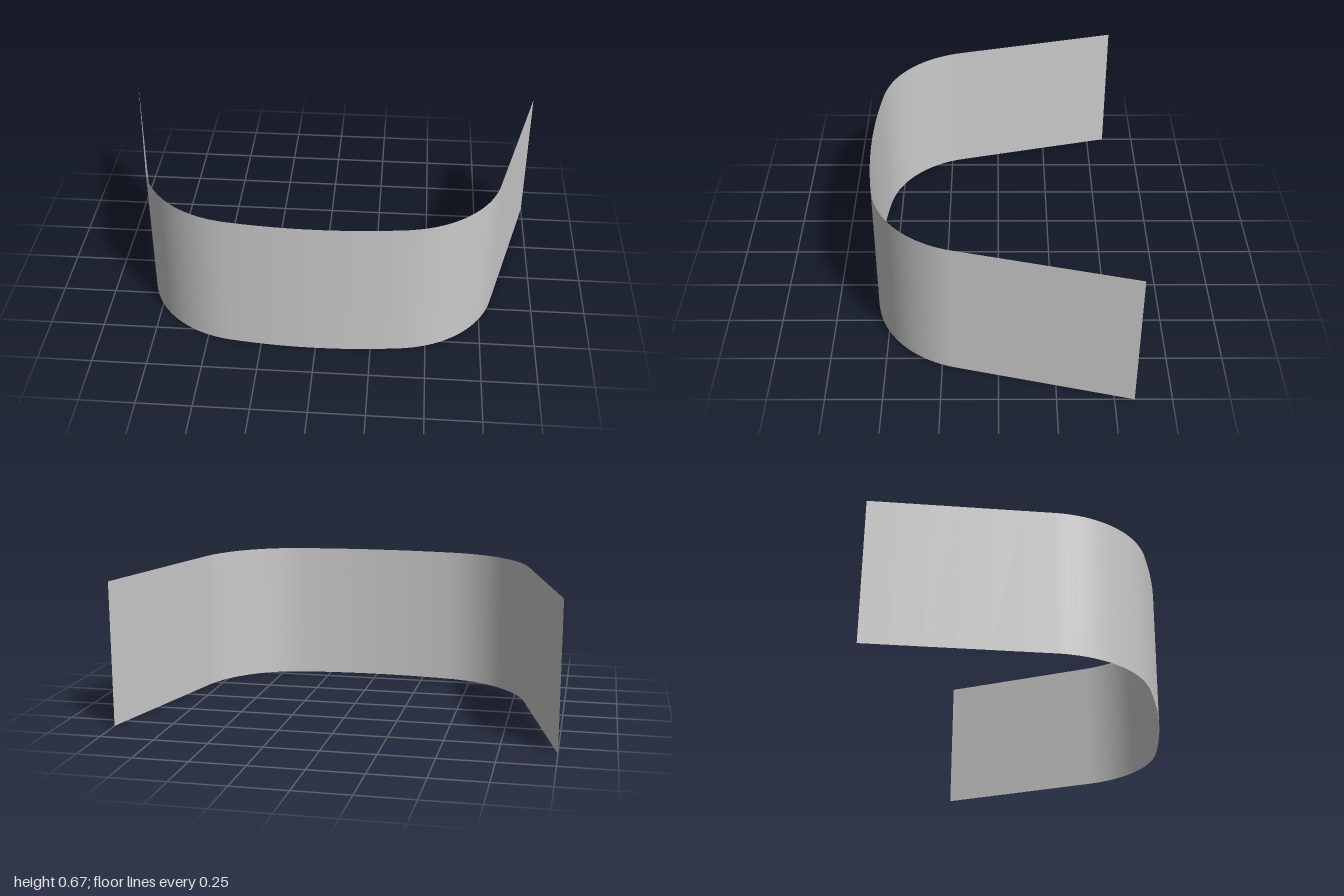
import * as THREE from 'three';

const HEIGHT = 0.67;
const rad = THREE.MathUtils.degToRad;

// Points on a circle in the ground plane (x, z), from angle a to angle b in degrees
function arc(cx, cz, r, a, b, steps) {
  return Array.from({ length: steps + 1 }, (_, i) => {
    const t = rad(a + (b - a) * i / steps);
    return [cx + r * Math.cos(t), cz + r * Math.sin(t)];
  });
}

// Plan outline: straight splayed arm, tight corner, shallow front bow, then mirrored
function outline() {
  const half = [
    ...arc(0, -2.287, 2.874, 90, 82, 10),
    ...arc(0.332, 0.074, 0.489, 82, 14, 24).slice(1),
  ];
  const [sx, sz] = half[half.length - 1];
  const armSteps = 6;
  for (let i = 1; i <= armSteps; i++) {
    const t = i / armSteps;
    half.push([sx + (1 - sx) * t, sz + (-0.587 - sz) * t]);
  }
  const mirrored = half.slice(1).reverse().map(([x, z]) => [-x, z]);
  return [...mirrored, ...half];
}

export function createModel() {
  const group = new THREE.Group();
  group.name = 'curvedScreen';

  // Thin upright sheet bent along the outline
  const points = outline();
  const geometry = new THREE.PlaneGeometry(1, HEIGHT, points.length - 1, 1);
  geometry.translate(0, HEIGHT / 2, 0);
  const pos = geometry.attributes.position;
  for (let i = 0; i < pos.count; i++) {
    const [x, z] = points[i % points.length];
    pos.setX(i, x);
    pos.setZ(i, z);
  }
  geometry.computeVertexNormals();

  const material = new THREE.MeshStandardMaterial({ color: 0xcccccc, side: THREE.DoubleSide });
  const band = new THREE.Mesh(geometry, material);
  band.name = 'curvedBand';
  group.add(band);
  return group;
}
